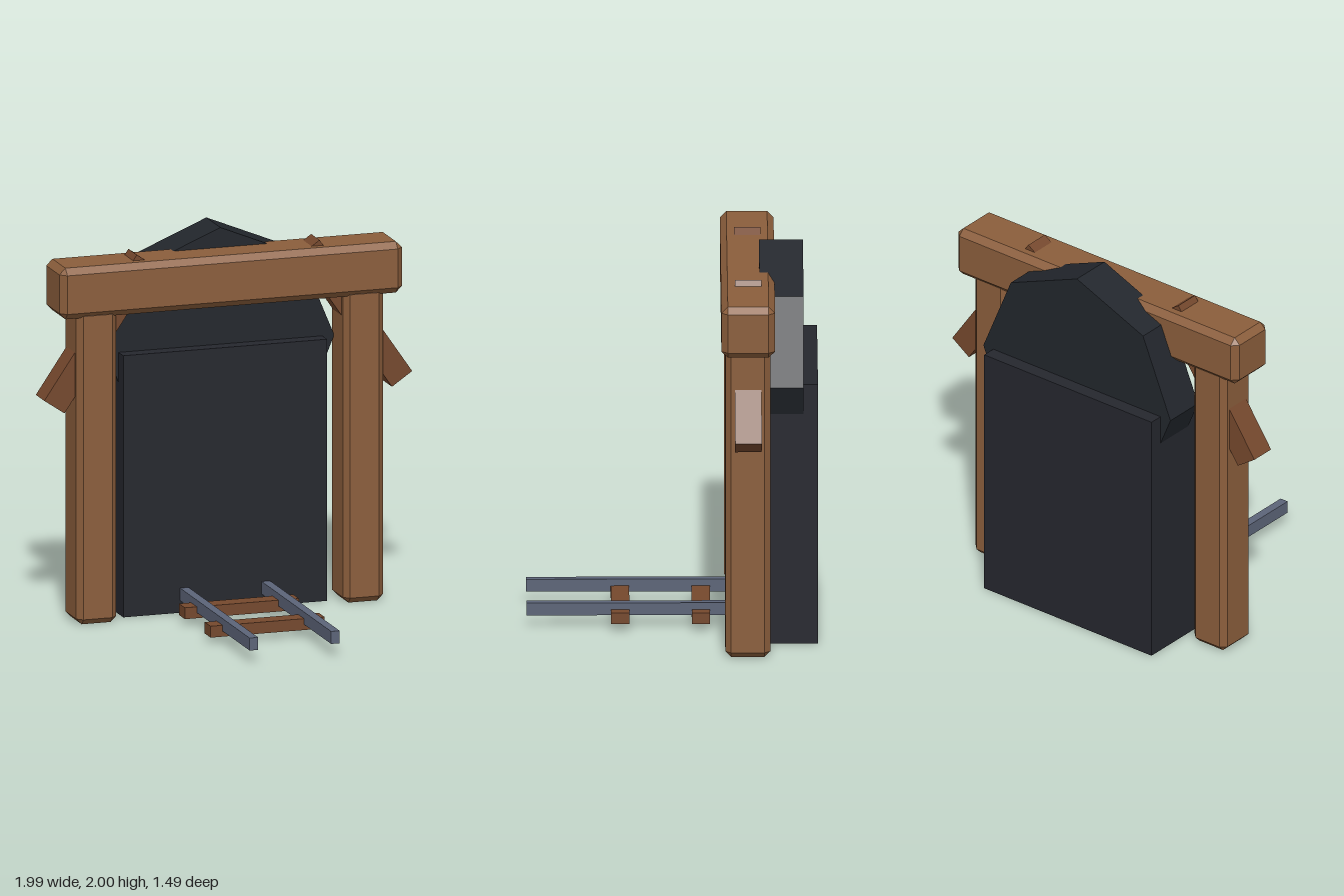
import * as THREE from 'three';
import { ConvexGeometry } from 'three/addons/geometries/ConvexGeometry.js';

const paint = (color) => new THREE.MeshStandardMaterial({ color, flatShading: true });

// Box with a single flat chamfer of size c on every edge
function chamferBox(w, h, d, c) {
  const points = [];
  for (const x of [-1, 1]) for (const y of [-1, 1]) for (const z of [-1, 1]) {
    for (let face = 0; face < 3; face++) {
      const inset = [c, c, c];
      inset[face] = 0;
      points.push(new THREE.Vector3(
        x * (w / 2 - inset[0]), y * (h / 2 - inset[1]), z * (d / 2 - inset[2])));
    }
  }
  return new ConvexGeometry(points);
}

export function createModel() {
  const model = new THREE.Group();
  model.name = 'mineEntrance';
  const timber = paint(0x8b5e3c);
  const darkTimber = paint(0x75482d);
  const rock = paint(0x22262c);
  const shadow = paint(0x25272e);
  const steel = paint(0x5c6478);

  const add = (name, geometry, material, x, y, z) => {
    const mesh = new THREE.Mesh(geometry, material);
    mesh.name = name;
    mesh.position.set(x, y, z);
    model.add(mesh);
    return mesh;
  };

  // Tunnel body with an octagonal arch rising behind the lintel
  add('tunnelBody', new THREE.BoxGeometry(1.1, 1.38, 0.375), shadow, 0, 0.69, -0.558);
  const arch = new THREE.CylinderGeometry(0.615, 0.615, 0.225, 8);
  arch.rotateX(Math.PI / 2);
  add('tunnelArch', arch, rock, 0, 1.38, -0.559);

  // Timber frame
  add('lintel', chamferBox(1.85, 0.27, 0.275, 0.033), timber, 0, 1.755, -0.387);
  for (const side of [-1, 1]) {
    const label = side > 0 ? 'left' : 'right';
    add(label + 'Post', chamferBox(0.216, 1.66, 0.23, 0.03), timber, side * 0.72, 0.83, -0.385);

    // Diagonal brace passing through post and lintel
    const brace = add(label + 'Brace', new THREE.BoxGeometry(0.132, 0.885, 0.136), darkTimber,
      side * 0.689, 1.517, -0.388);
    brace.rotation.z = side * 0.6;

    // Rail running out of the tunnel
    add(label + 'Rail', new THREE.BoxGeometry(0.046, 0.066, 1.145), steel, side * 0.22, 0.097, 0.173);
  }

  // Track sleepers
  for (const z of [-0.148, 0.265]) {
    add('sleeper', new THREE.BoxGeometry(0.616, 0.06, 0.094), darkTimber, 0, 0.065, z);
  }

  return model;
}
